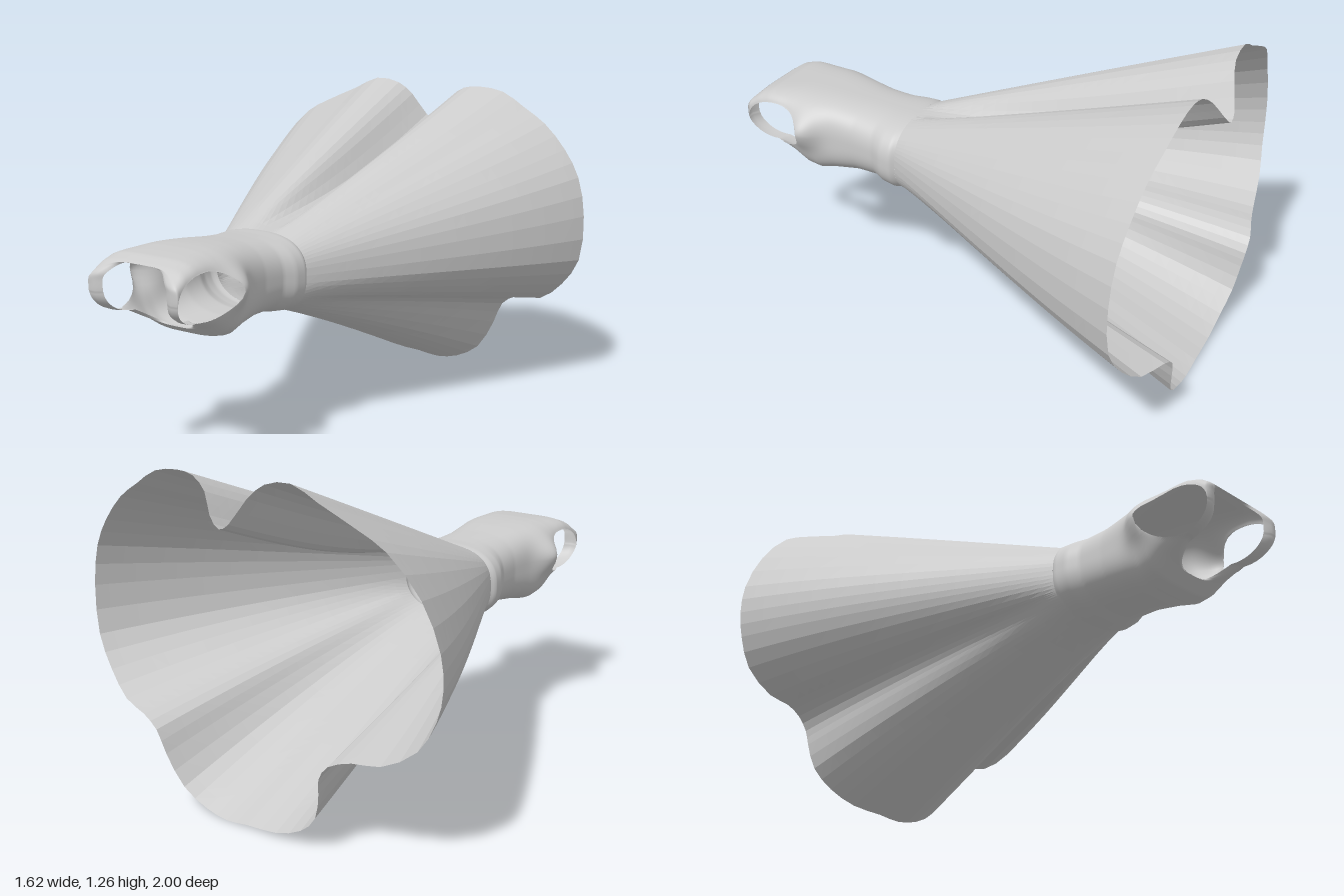
import * as THREE from 'three';

const cloth = new THREE.MeshStandardMaterial({ color: 0xcccccc, side: THREE.DoubleSide });
const pleatedCloth = new THREE.MeshStandardMaterial({ color: 0xcccccc, side: THREE.DoubleSide, flatShading: true });

// Hem of the skirt: x, y, z, going round clockwise from the notch at the top
const HEM = [
  [0.03, 1.09, -1], [0.08, 1.13, -0.99], [0.13, 1.2, -0.96], [0.2, 1.245, -0.945], [0.28, 1.255, -0.94],
  [0.39, 1.24, -0.94], [0.5, 1.18, -0.93], [0.6, 1.12, -0.92], [0.7, 1.02, -0.91], [0.77, 0.91, -0.9],
  [0.805, 0.75, -0.895], [0.79, 0.56, -0.9], [0.71, 0.44, -0.92], [0.6, 0.355, -0.95], [0.47, 0.335, -0.985],
  [0.4, 0.29, -0.99], [0.365, 0.2, -0.98], [0.3, 0.08, -0.96], [0.2, 0.02, -0.95], [0.1, 0, -0.95],
  [0, 0.01, -0.95], [-0.14, 0.02, -0.95], [-0.26, 0.065, -0.955], [-0.34, 0.14, -0.97], [-0.37, 0.24, -0.985],
  [-0.38, 0.3, -0.995], [-0.42, 0.355, -0.995], [-0.5, 0.38, -0.97], [-0.6, 0.385, -0.945], [-0.73, 0.46, -0.92],
  [-0.79, 0.57, -0.9], [-0.81, 0.67, -0.895], [-0.8, 0.79, -0.895], [-0.73, 0.95, -0.9], [-0.61, 1.09, -0.92],
  [-0.5, 1.15, -0.93], [-0.35, 1.215, -0.935], [-0.24, 1.265, -0.94], [-0.13, 1.25, -0.945], [-0.07, 1.2, -0.965],
  [-0.01, 1.11, -0.995],
];

// Bodice sections: z, half width, top, bottom
const BODICE = [
  [0.28, 0.215, 0.80, 0.50], [0.3, 0.228, 0.802, 0.498], [0.35, 0.222, 0.802, 0.505], [0.4, 0.198, 0.805, 0.515],
  [0.5, 0.191, 0.812, 0.515], [0.6, 0.2, 0.823, 0.505], [0.67, 0.208, 0.828, 0.492], [0.72, 0.211, 0.83, 0.505],
  [0.78, 0.21, 0.83, 0.545], [0.85, 0.206, 0.825, 0.58], [0.9, 0.203, 0.82, 0.6], [0.95, 0.2, 0.803, 0.625],
  [1, 0.2, 0.765, 0.65],
];

function section(z) {
  let i = 0;
  while (i < BODICE.length - 2 && z > BODICE[i + 1][0]) i++;
  const a = BODICE[i], b = BODICE[i + 1];
  const t = THREE.MathUtils.clamp((z - a[0]) / (b[0] - a[0]), 0, 1);
  return a.map((v, k) => v + (b[k] - v) * t);
}

// Point on the rounded-box cross-section, squarer towards the shoulders
function bodicePoint(angle, z) {
  const [, w, top, bottom] = section(z);
  const { smoothstep } = THREE.MathUtils;
  const power = 0.78 - 0.2 * smoothstep(z, 0.4, 0.75) - 0.14 * smoothstep(z, 0.76, 0.9);
  const soft = (v) => Math.sign(v) * Math.pow(Math.abs(v), power);
  const c = Math.cos(angle);
  const y = (top + bottom) / 2 + soft(Math.sin(angle)) * (top - bottom) / 2;
  // the back edge of each armhole flares outwards
  const flare = 0.056 * Math.exp(-(((z - 0.71) / 0.065) ** 2) - ((y - 0.7) / 0.075) ** 2);
  return new THREE.Vector3(soft(c) * w + c * flare, y, z);
}

// Closed tube through rings of equal length; keep(a, b, c) may drop triangles
function loft(rings, keep = () => true) {
  const n = rings[0].length, index = [];
  const add = (...t) => { if (keep(...t)) index.push(...t); };
  for (let r = 0; r < rings.length - 1; r++) {
    for (let i = 0; i < n; i++) {
      const j = (i + 1) % n;
      const a = r * n + i, b = r * n + j, c = a + n, d = b + n;
      add(a, b, c);
      add(b, d, c);
    }
  }
  const geometry = new THREE.BufferGeometry().setFromPoints(rings.flat());
  geometry.setIndex(index);
  geometry.computeVertexNormals();
  return geometry;
}

function part(name, geometry, material) {
  const mesh = new THREE.Mesh(geometry, material);
  mesh.name = name;
  return mesh;
}

// Flared skirt: narrow panels from the waist ring to the wavy hem
function makeSkirt() {
  const curve = new THREE.CatmullRomCurve3(HEM.map((p) => new THREE.Vector3(...p)), true, 'centripetal');
  const hem = curve.getPoints(HEM.length * 2).slice(0, -1).reverse();
  const waist = hem.map((p) => bodicePoint(Math.atan2(p.y - 0.65, p.x), 0.28));
  const rings = [];
  for (let k = 24; k >= 0; k--) {
    const t = k / 24;
    rings.push(waist.map((w, i) => {
      const h = hem[i], p = w.clone().lerp(h, t);
      p.x *= 1 + 0.13 * t * (1 - t); // sides swell a little
      if (h.y < w.y) p.y = w.y + (h.y - w.y) * t ** 1.12; // underside drops later
      else p.y -= 0.06 * Math.sin(Math.PI * t) * Math.exp(-(((h.x - 0.03) / 0.09) ** 2)); // sunken valley at the notch
      return p;
    }));
  }
  return part('skirt', loft(rings), pleatedCloth);
}

// Bodice with slanted neck opening, shoulder straps and two armholes
function makeBodice() {
  const N = 144, ROWS = 72, rings = [];
  for (let r = 0; r <= ROWS; r++) {
    const ring = [];
    for (let i = 0; i < N; i++) {
      const a = (i / N) * Math.PI * 2, s = Math.sin(a);
      const end = s > 0 ? 1 - 0.045 * s ** 4 : 1 - 0.23 * s ** 2;
      ring.push(bodicePoint(a, 0.28 + (end - 0.28) * (r / ROWS)));
    }
    rings.push(ring);
  }

  // pull points inside the armhole outline onto its edge
  const hole = new Set();
  rings.flat().forEach((p, i) => {
    const u = (p.z - 0.857) / 0.14, v = (p.y - 0.69) / 0.09;
    const d = Math.hypot(u, v);
    if (d >= 1) return;
    hole.add(i);
    const k = 1 / Math.max(d, 1e-4);
    p.z = 0.857 + u * k * 0.14;
    p.y = 0.69 + v * k * 0.09;
  });

  // neck edge turns inwards, forming the straps
  for (const [k, dz] of [[0.86, 0.002], [0.72, -0.012]]) {
    rings.push(rings[ROWS].map((p) => new THREE.Vector3(p.x * k, p.y, p.z + dz)));
  }
  return part('bodice', loft(rings, (a, b, c) => !(hole.has(a) && hole.has(b) && hole.has(c))), cloth);
}

export function createModel() {
  const dress = new THREE.Group();
  dress.name = 'dress';
  dress.add(makeSkirt(), makeBodice());
  return dress;
}
